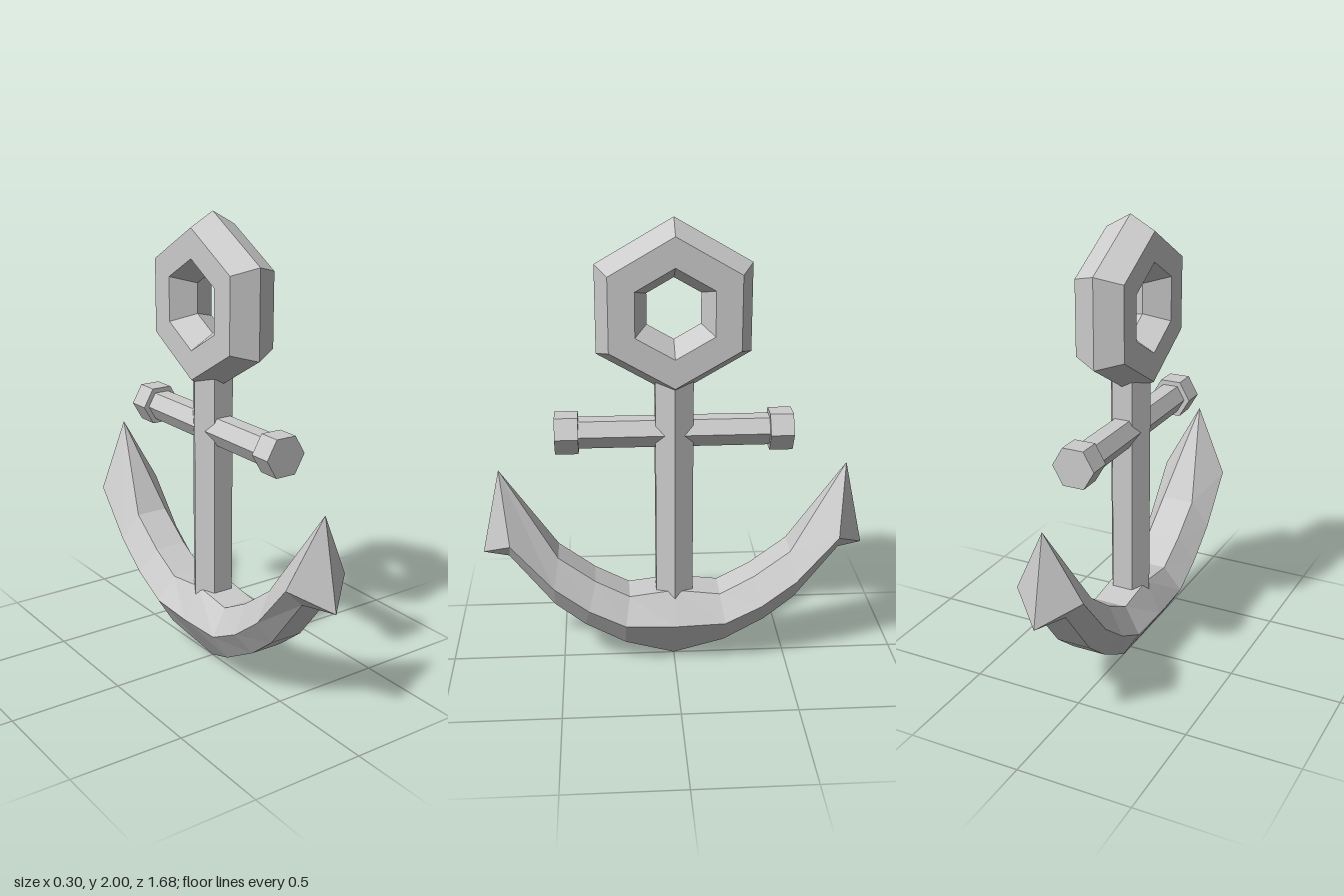
import * as THREE from 'three';

const material = new THREE.MeshStandardMaterial({ color: 0xcccccc, flatShading: true });

function addMesh(parent, geometry, name) {
  const mesh = new THREE.Mesh(geometry, material);
  mesh.name = name;
  parent.add(mesh);
  return mesh;
}

function fromTriangles(points) {
  const geometry = new THREE.BufferGeometry();
  geometry.setAttribute('position', new THREE.Float32BufferAttribute(points.flat(), 3));
  geometry.computeVertexNormals();
  return geometry;
}

// Hexagonal bar along z with ridges at +x and -x
function hexBar(radius, length) {
  return new THREE.CylinderGeometry(radius, radius, length, 6, 1, false, Math.PI / 2).rotateX(Math.PI / 2);
}

// Half of the arm: [z, y] of the top, side and bottom, then half-widths of top and bottom
const SIDE = 0.15;
const stations = [
  { top: [0, 0.36], side: [0, 0.217], bottom: [0, 0], t: 0.075, b: 0 },
  { top: [0.2, 0.335], side: [0.22, 0.225], bottom: [0.22, 0.105], t: 0.075, b: 0.075 },
  { top: [0.35, 0.415], side: [0.38, 0.305], bottom: [0.4, 0.205], t: 0.075, b: 0.075 },
  { top: [0.51, 0.535], side: [0.53, 0.42], bottom: [0.53, 0.31], t: 0.075, b: 0.075 },
  { top: [0.755, 0.925], side: [0.71, 0.63], bottom: [0.72, 0.555], t: 0, b: 0.075 },
];

// Six-sided section, counter-clockwise seen from +z; s is the sign of z
function section({ top, side, bottom, t, b }, s) {
  const at = (x, [z, y]) => [x, y, z * s];
  return [at(t, top), at(-t, top), at(-SIDE, side), at(-b, bottom), at(b, bottom), at(SIDE, side)];
}

function armGeometry() {
  const rings = [
    ...stations.slice(1).reverse().map((st) => section(st, -1)),
    ...stations.map((st) => section(st, 1)),
  ];
  const tris = [];
  for (let r = 0; r < rings.length - 1; r++) {
    const a = rings[r], c = rings[r + 1];
    for (let i = 0; i < 6; i++) {
      const j = (i + 1) % 6;
      tris.push(a[i], a[j], c[j], a[i], c[j], c[i]);
    }
  }
  return fromTriangles(tris);
}

// Pointed end: two outer faces and the barbed underside
function flukeGeometry() {
  const [tip, , right, bottomRight, bottomLeft, left] = section(stations[4], 1);
  const barb = [0, 0.54, 0.838];
  return fromTriangles([
    tip, barb, left,
    tip, right, barb,
    left, barb, bottomLeft,
    right, bottomRight, barb,
    bottomLeft, barb, bottomRight,
  ]);
}

export function createModel() {
  const anchor = new THREE.Group();
  anchor.name = 'anchor';

  // Hexagonal ring with bevelled rim and hole
  const profile = [[0.375, 0], [0.315, 0.108], [0.19, 0.108], [0.13, 0], [0.19, -0.108], [0.315, -0.108], [0.375, 0]]
    .map(([r, h]) => new THREE.Vector2(r, h)).reverse();
  const ringGeometry = new THREE.LatheGeometry(profile, 6, Math.PI / 2).rotateZ(Math.PI / 2);
  // Reverse the profile order if it faces inward
  addMesh(anchor, orientOutward(ringGeometry), 'ring').position.y = 1.625;

  // Upright shank
  const shank = new THREE.CylinderGeometry(0.093, 0.093, 1.04, 6, 1, false, Math.PI / 2);
  addMesh(anchor, shank, 'shank').position.y = 0.8;

  // Cross bar with end caps
  const stock = new THREE.Group();
  stock.name = 'stock';
  stock.position.y = 1.09;
  anchor.add(stock);
  addMesh(stock, hexBar(0.069, 0.9), 'stockBar');
  for (const s of [-1, 1]) {
    addMesh(stock, hexBar(0.093, 0.1), 'stockCap').position.z = 0.457 * s;
  }

  // Curved arms and their flukes
  addMesh(anchor, armGeometry(), 'arms');
  for (const turn of [0, Math.PI]) {
    addMesh(anchor, flukeGeometry(), 'fluke').rotation.y = turn;
  }
  return anchor;
}

// Flips the faces of a closed geometry whose signed volume is negative
function orientOutward(geometry) {
  const index = geometry.index.array;
  const p = [0, 1, 2].map(() => new THREE.Vector3());
  let volume = 0;
  for (let i = 0; i < index.length; i += 3) {
    p.forEach((v, k) => v.fromBufferAttribute(geometry.attributes.position, index[i + k]));
    volume += p[0].dot(p[1].clone().cross(p[2]));
  }
  if (volume < 0) {
    for (let i = 0; i < index.length; i += 3) [index[i], index[i + 1]] = [index[i + 1], index[i]];
    geometry.computeVertexNormals();
  }
  return geometry;
}
